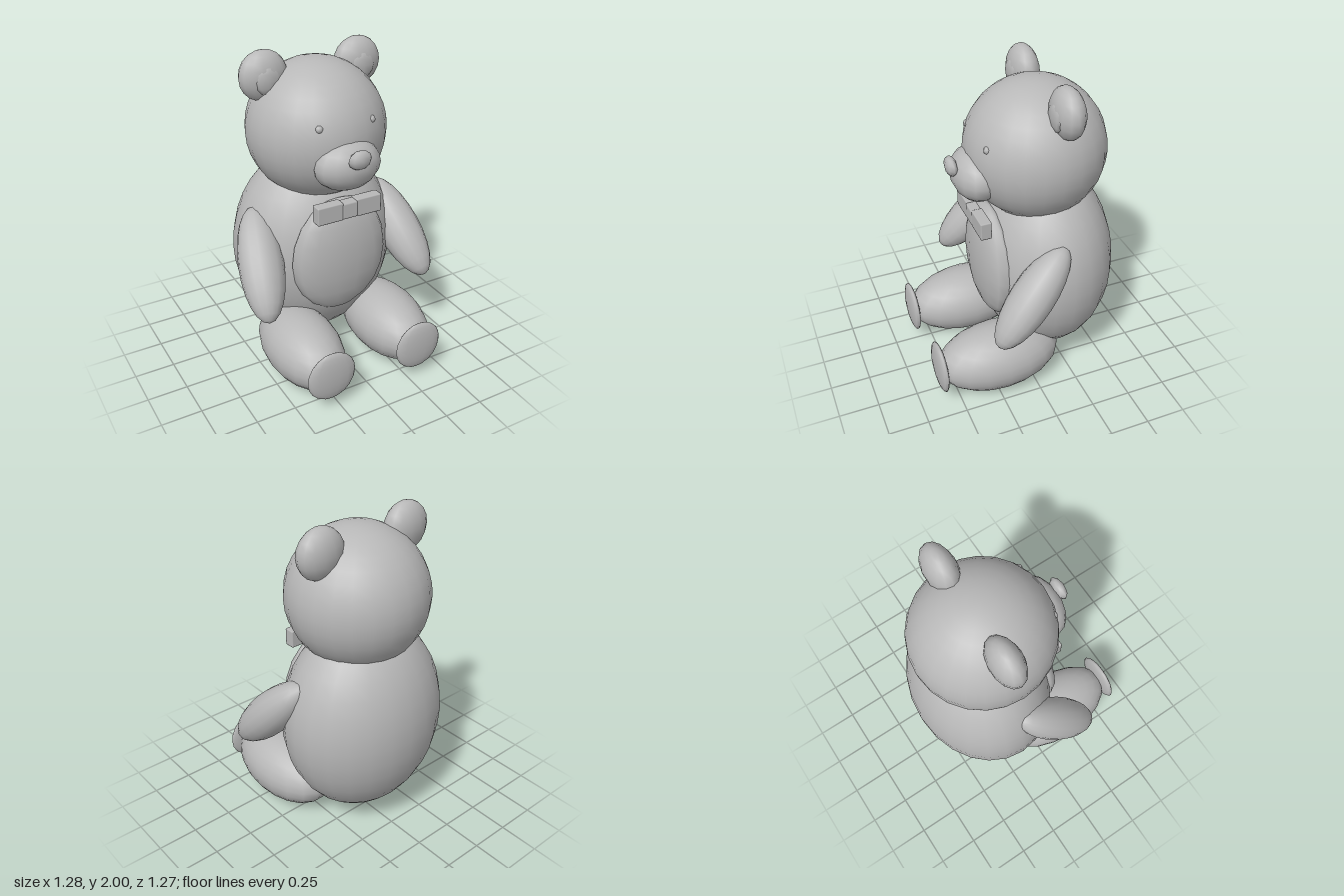
import * as THREE from 'three';
import { RoundedBoxGeometry } from 'three/addons/geometries/RoundedBoxGeometry.js';

export function createModel() {
  const bear = new THREE.Group();
  bear.name = 'teddyBear';
  const plush = new THREE.MeshStandardMaterial({ color: 0xb8b8b8 });
  plush.name = 'greyPlush';

  function add(name, geometry, position) {
    const mesh = new THREE.Mesh(geometry, plush);
    mesh.name = name;
    mesh.position.set(...position);
    bear.add(mesh);
    return mesh;
  }

  // Ellipsoid given by its half sizes, with baked scale so normals stay correct
  function ellipsoid(name, position, radii, segments, rings) {
    const geometry = new THREE.SphereGeometry(1, segments, rings);
    geometry.scale(...radii);
    return add(name, geometry, position);
  }

  // Torso, belly patch and head
  ellipsoid('body', [0, 0.72, -0.2], [0.53, 0.64, 0.435], 24, 18);
  ellipsoid('belly', [0, 0.76, 0.15], [0.325, 0.385, 0.115], 14, 10);
  ellipsoid('head', [0, 1.5, -0.145], [0.43, 0.43, 0.43], 24, 18);

  // Face
  ellipsoid('muzzle', [0, 1.395, 0.23], [0.212, 0.156, 0.145], 14, 10);
  ellipsoid('nose', [0, 1.472, 0.375], [0.076, 0.057, 0.036], 8, 6);

  // Bow tie
  add('bowKnot', new RoundedBoxGeometry(0.106, 0.105, 0.07, 1, 0.012), [0, 1.113, 0.245]);

  for (const side of [1, -1]) {
    const prefix = side > 0 ? 'left' : 'right';

    add(prefix + 'Bow', new RoundedBoxGeometry(0.17, 0.114, 0.07, 1, 0.008),
      [side * 0.13, 1.115, 0.243]);

    ellipsoid(prefix + 'Eye', [side * 0.17, 1.63, 0.21], [0.025, 0.025, 0.025], 8, 6);
    ellipsoid(prefix + 'Ear', [side * 0.312, 1.848, -0.197], [0.153, 0.152, 0.092], 14, 10);
    ellipsoid(prefix + 'InnerEar', [side * 0.312, 1.835, -0.128], [0.085, 0.085, 0.028], 8, 6);

    // Arm reaching down, outward and forward
    const arm = ellipsoid(prefix + 'Arm', [side * 0.49, 0.78, 0.065], [0.14, 0.36, 0.13], 16, 12);
    arm.quaternion.setFromUnitVectors(new THREE.Vector3(0, -1, 0),
      new THREE.Vector3(side * 0.13, -0.52, 0.47).normalize());

    // Leg stretched forward with a sole pad
    ellipsoid(prefix + 'Leg', [side * 0.307, 0.22, 0.215], [0.227, 0.216, 0.397], 18, 14);
    ellipsoid(prefix + 'FootPad', [side * 0.307, 0.242, 0.602], [0.16, 0.162, 0.033], 14, 10);
  }

  return bear;
}
